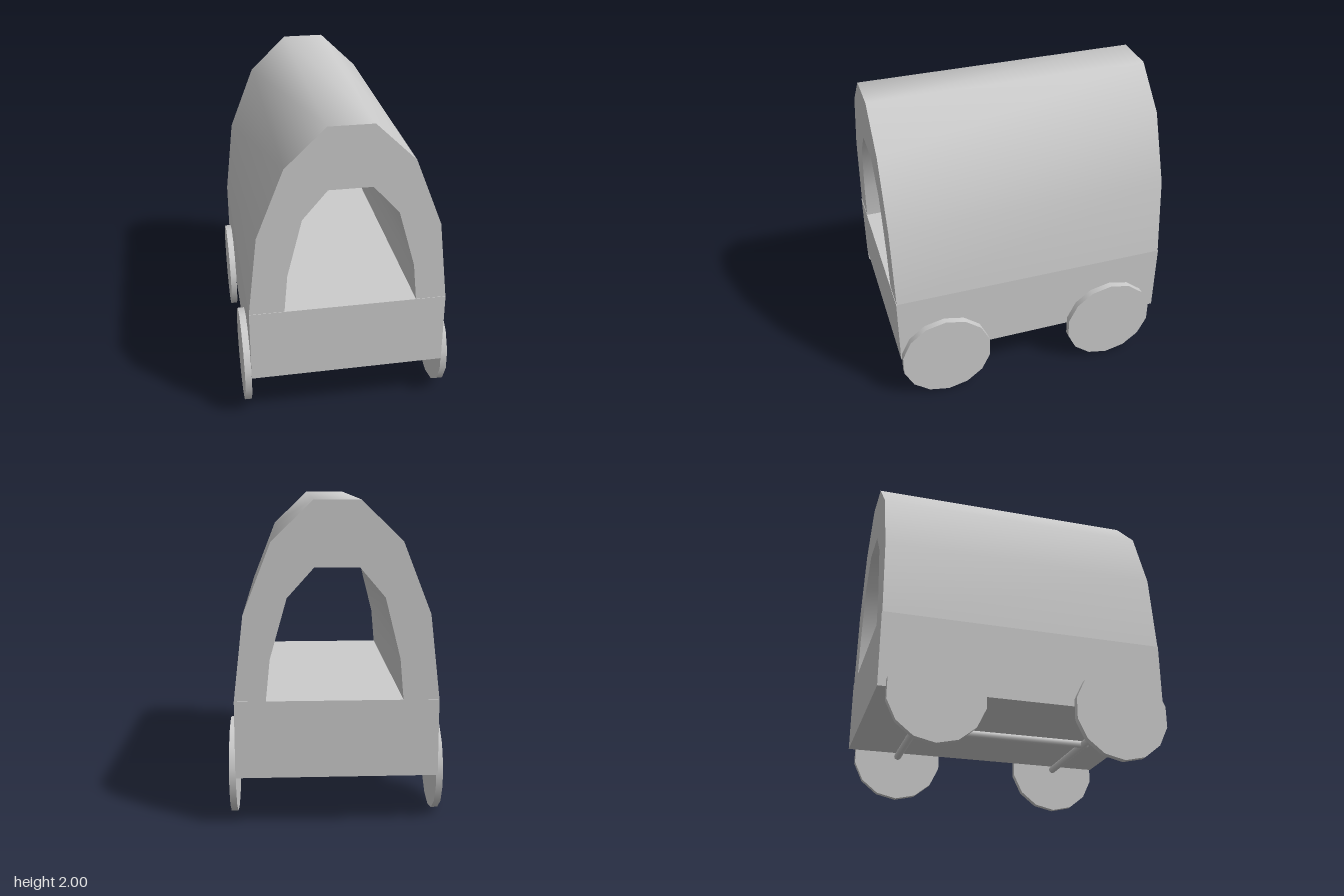
import * as THREE from 'three';
import { toCreasedNormals } from 'three/addons/utils/BufferGeometryUtils.js';

const FLOOR = 0.81, WHEEL_R = 0.305, AXLE_Y = 0.305, HALF_W = 0.618;
const AXLES = { front: 0.605, back: -0.56 };

export function createModel() {
  const group = new THREE.Group();
  const material = new THREE.MeshStandardMaterial({ color: 0xcccccc });
  const add = (name, geometry, x, y, z) => {
    const mesh = new THREE.Mesh(geometry, material);
    mesh.name = name;
    mesh.position.set(x, y, z);
    group.add(mesh);
    return mesh;
  };

  // Solid wagon bed
  add('wagonBed', new THREE.BoxGeometry(HALF_W * 2, 0.48, 1.816), 0, 0.57, 0);

  // Thick arched canopy, open at both ends
  const outer = [[0.618, FLOOR], [0.557, 1.33], [0.387, 1.76], [0.138, 2],
    [-0.138, 2], [-0.387, 1.76], [-0.557, 1.33], [-0.618, FLOOR]];
  const inner = [[-0.4, FLOOR], [-0.378, 1.06], [-0.285, 1.43], [-0.132, 1.61],
    [0.135, 1.61], [0.297, 1.43], [0.402, 1.06], [0.427, FLOOR]];
  const arch = new THREE.Shape([...outer, ...inner].map(([x, y]) => new THREE.Vector2(x, y)));
  const canopy = new THREE.ExtrudeGeometry(arch, { depth: 1.81, bevelEnabled: false });
  add('canopy', toCreasedNormals(canopy, 0.9), 0, 0, -0.905);

  // Axles with a disc wheel at each end
  const wheel = new THREE.CylinderGeometry(WHEEL_R, WHEEL_R, 0.042, 14, 1, false, Math.PI / 2);
  const axle = new THREE.CylinderGeometry(0.025, 0.025, HALF_W * 2, 10);
  wheel.rotateZ(Math.PI / 2);
  axle.rotateZ(Math.PI / 2);
  for (const [end, z] of Object.entries(AXLES)) {
    add(end + 'Axle', axle, 0, AXLE_Y, z);
    add(end + 'LeftWheel', wheel, 0.639, AXLE_Y + 0.003, z);
    add(end + 'RightWheel', wheel, -0.639, AXLE_Y + 0.003, z);
  }

  // Centre shaft joining the axles
  const shaft = new THREE.CylinderGeometry(0.025, 0.025, 1.23, 10);
  shaft.rotateX(Math.PI / 2);
  add('centreShaft', shaft, 0, AXLE_Y + 0.002, (AXLES.front + AXLES.back) / 2);

  return group;
}
